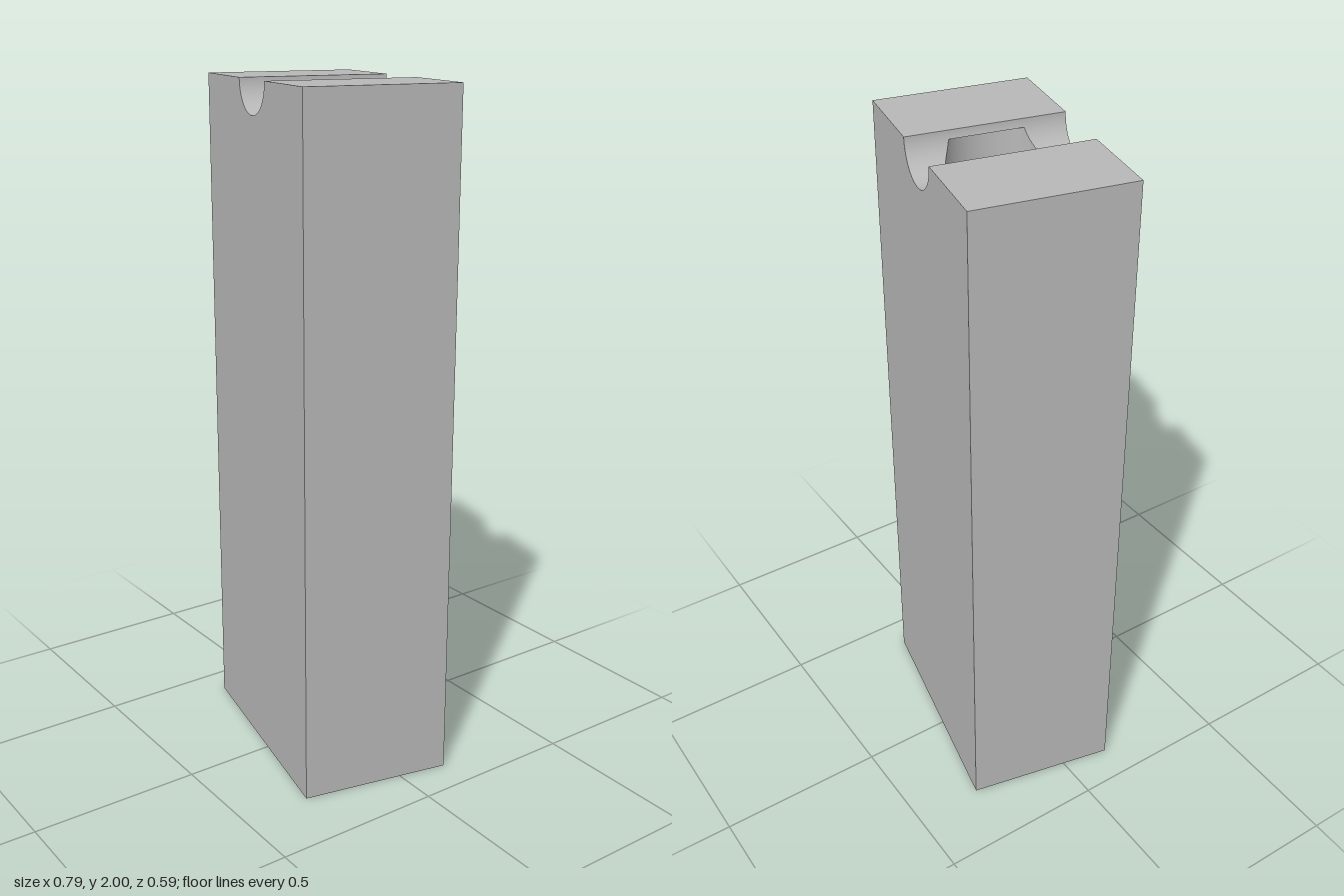
import * as THREE from 'three';
import { ParametricGeometry } from 'three/addons/geometries/ParametricGeometry.js';

const W = 0.717, D = 0.448, H = 2;    // block size
const G = 0.0956;                     // groove radius, axis on the top face
const R = 0.14;                       // bore radius
const CEIL = 1.976;                   // the bore ends just under the top face
const YAW = -0.211;                   // turn of the block about y

const lip = Math.sqrt(G * G - (H - CEIL) ** 2);   // groove half width at the bore's ceiling
const tb = Math.acos(lip / R);                    // bore angle where groove and ceiling meet
const grooveY = (x) => H - Math.sqrt(G * G - x * x);

export function createModel() {
  const grey = new THREE.MeshStandardMaterial({ color: 0xb8b8b8 });
  grey.name = 'grey';
  const model = new THREE.Group();
  model.name = 'groovedBlock';

  const add = (parent, name, geometry) => {
    const mesh = new THREE.Mesh(geometry, grey);
    mesh.name = name;
    parent.add(mesh);
  };
  const patch = (fn, slices, stacks = 1) =>
    new ParametricGeometry((u, v, p) => p.set(...fn(u, v)), slices, stacks);

  // Everything but the base repeats after half a turn
  const half = (name) => {
    const g = new THREE.Group();
    g.name = name;

    // Wide face with the semicircular groove end
    const face = new THREE.Shape();
    face.moveTo(-W / 2, 0);
    face.lineTo(W / 2, 0);
    face.lineTo(W / 2, H);
    face.lineTo(G, H);
    face.absarc(0, H, G, 0, Math.PI, true);
    face.lineTo(-W / 2, H);
    face.closePath();
    add(g, 'wideFace', new THREE.ShapeGeometry(face, 48).translate(0, 0, D / 2));

    // Narrow side and flat top beside the groove
    add(g, 'narrowFace', new THREE.PlaneGeometry(D, H).rotateY(Math.PI / 2).translate(W / 2, H / 2, 0));
    add(g, 'topFace', new THREE.PlaneGeometry(W / 2 - G, D).rotateX(-Math.PI / 2)
      .translate((W / 2 + G) / 2, H, 0));

    // Groove floor from the bore to the wide face
    const angle = (u) => tb + u * (Math.PI - 2 * tb);
    add(g, 'grooveFloor', patch((u, v) => {
      const t = angle(u), x = R * Math.cos(t), z = R * Math.sin(t);
      return [x, grooveY(x), z + (D / 2 - z) * v];
    }, 48));

    // Thin groove lip running over the bore
    const a = Math.asin((H - CEIL) / G);
    add(g, 'grooveLip', patch((u, v) => {
      const t = Math.PI + a * u;
      return [G * Math.cos(t), H + G * Math.sin(t), D / 2 - D * v];
    }, 8));

    // Bore wall: one arc cut by the groove, one reaching the ceiling
    add(g, 'boreWallCut', patch((u, v) => {
      const t = angle(u), x = R * Math.cos(t);
      return [x, v * grooveY(x), R * Math.sin(t)];
    }, 48));
    add(g, 'boreWallSide', patch((u, v) => {
      const t = tb * (2 * u - 1);
      return [R * Math.cos(t), v * CEIL, R * Math.sin(t)];
    }, 32));

    // Ceiling of the bore beside the groove
    const segment = new THREE.Shape();
    segment.absarc(0, 0, R, -tb, tb, false);
    segment.closePath();
    add(g, 'boreCeiling', new THREE.ShapeGeometry(segment, 32).rotateX(Math.PI / 2).translate(0, CEIL, 0));
    return g;
  };

  const front = half('frontHalf');
  const back = half('backHalf');
  back.rotation.y = Math.PI;
  model.add(front, back);

  // Base with the round bore opening
  const base = new THREE.Shape([
    new THREE.Vector2(-W / 2, -D / 2), new THREE.Vector2(W / 2, -D / 2),
    new THREE.Vector2(W / 2, D / 2), new THREE.Vector2(-W / 2, D / 2),
  ]);
  base.holes.push(new THREE.Path().absarc(0, 0, R, 0, Math.PI * 2, true));
  add(model, 'base', new THREE.ShapeGeometry(base, 96).rotateX(Math.PI / 2));

  model.rotation.y = YAW;
  return model;
}
